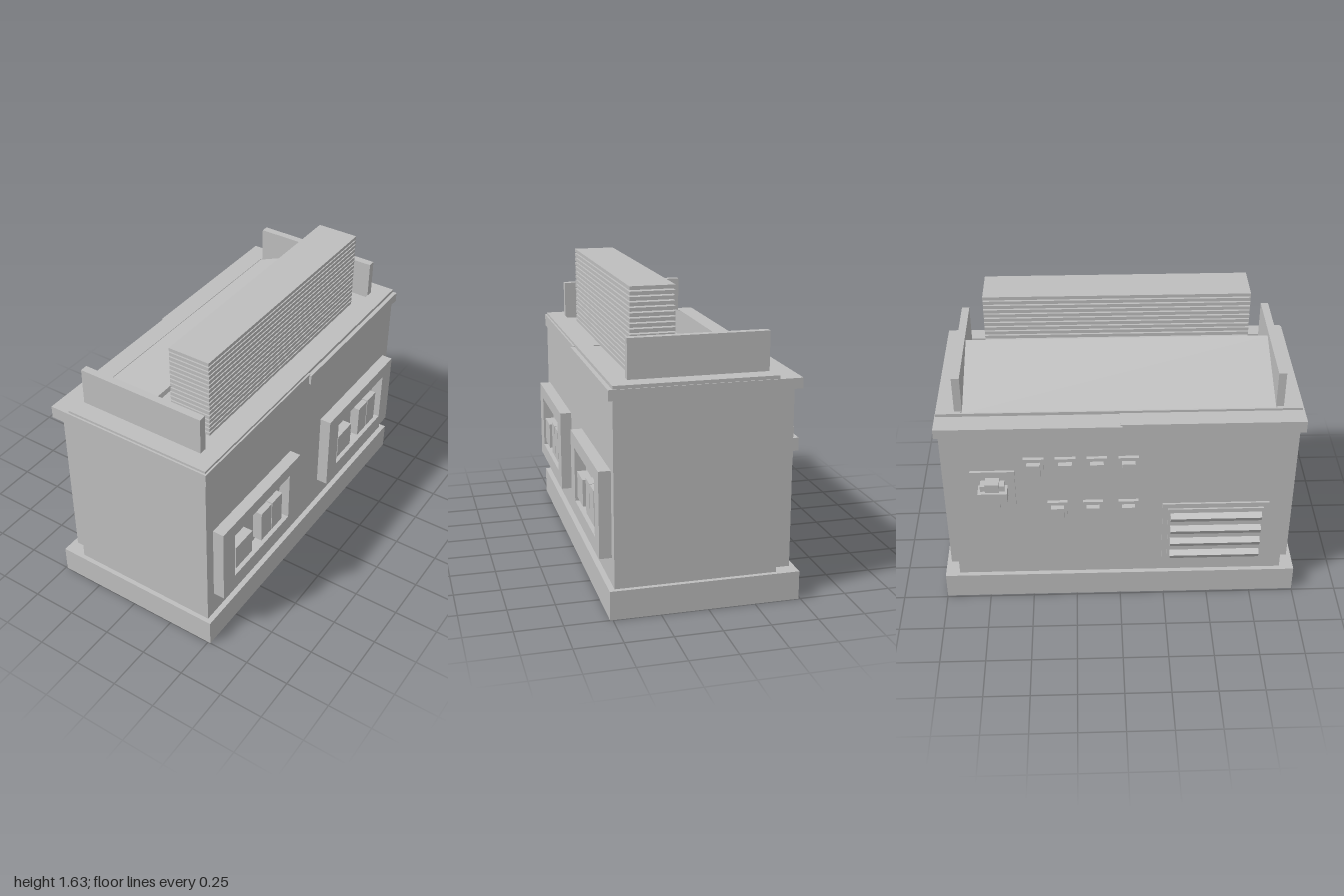
import * as THREE from 'three';

export function createModel() {
  const model = new THREE.Group();
  model.name = 'controlCabinet';
  const grey = new THREE.MeshStandardMaterial({ color: 0xbebebe });
  grey.name = 'plainGrey';

  const add = (name, geometry, parent = model) => {
    const mesh = new THREE.Mesh(geometry, grey);
    mesh.name = name;
    parent.add(mesh);
    return mesh;
  };
  // Box given by its limits on each axis
  const box = (name, x0, x1, y0, y1, z0, z1, parent = model) => {
    const mesh = add(name, new THREE.BoxGeometry(x1 - x0, y1 - y0, z1 - z0), parent);
    mesh.position.set((x0 + x1) / 2, (y0 + y1) / 2, (z0 + z1) / 2);
    return mesh;
  };
  const group = (name) => {
    const g = new THREE.Group();
    g.name = name;
    model.add(g);
    return g;
  };
  const rect = (path, x0, x1, y0, y1) =>
    path.moveTo(x0, y0).lineTo(x1, y0).lineTo(x1, y1).lineTo(x0, y1).closePath();
  // Rectangular frame with one opening, extruded along +z
  const frame = (outer, inner, depth) => {
    const shape = rect(new THREE.Shape(), ...outer);
    shape.holes.push(rect(new THREE.Path(), ...inner));
    return new THREE.ExtrudeGeometry(shape, { depth, bevelEnabled: false });
  };

  // Plinth and body, with a narrower section on the control side
  box('plinth', -0.49, 0.515, 0, 0.155, -1, 1);
  box('mainBody', -0.37, 0.485, 0.155, 1.15, -0.975, 0.975);
  box('controlBody', -0.463, -0.37, 0.155, 1.15, -0.92, 0.92);

  // Overlapping lid halves and the raised rim round the trough
  box('frontLid', -0.473, 0.495, 1.12, 1.19, 0, 0.985);
  box('backLid', -0.485, 0.508, 1.13, 1.185, -0.98, 0.012);
  const rim = add('troughRim', frame([-0.365, 0.485, -0.975, 0.975], [-0.355, 0.39, -0.84, 0.84], 0.02));
  rim.rotation.x = -Math.PI / 2;
  rim.position.y = 1.183;

  // End walls of the trough
  for (const s of [-1, 1]) {
    const z = s * 0.855;
    box('endWall', -0.343, 0.39, 1.19, 1.41, z - 0.021, z + 0.021);
  }

  // Sloping sheet that rises to the stack
  const sheet = new THREE.Shape();
  sheet.moveTo(-0.355, 1.2).lineTo(-0.346, 1.18).lineTo(0.095, 1.36).lineTo(0.086, 1.38).closePath();
  add('slopingSheet', new THREE.ExtrudeGeometry(sheet, { depth: 1.67, bevelEnabled: false }))
    .position.z = -0.835;

  // Stack of separate flat sheets
  const stack = group('sheetStack');
  const count = 17;
  for (let i = 0; i < count; i++) {
    const y = 1.635 - i * 0.0268;
    box('stackedSheet', 0.106, 0.341, y - 0.019, y, -0.727, 0.727, stack);
  }

  // Two framed bays on the left side, each holding three blocks
  for (const z of [0.541, -0.541]) {
    const bay = group('framedBay');
    bay.position.z = z;
    const f = add('bayFrame', frame([-0.376, 0.376, 0.3, 0.76], [-0.27, 0.27, 0.38, 0.685], 0.065), bay);
    f.rotation.y = Math.PI / 2;
    f.position.x = 0.484;
    box('lowBlock', 0.48, 0.54, 0.41, 0.56, 0.09, 0.245, bay);
    box('tallBlock', 0.48, 0.54, 0.41, 0.603, -0.101, -0.002, bay);
    box('tallBlock', 0.48, 0.54, 0.41, 0.603, -0.209, -0.108, bay);
  }

  // Rotary switch on its backing plate
  const rotary = group('rotarySwitch');
  box('switchPlate', -0.478, -0.46, 0.645, 0.895, -0.81, -0.57, rotary);
  box('switchHub', -0.53, -0.46, 0.705, 0.84, -0.755, -0.625, rotary);
  box('switchUpright', -0.542, -0.46, 0.685, 0.857, -0.728, -0.652, rotary);
  box('switchBar', -0.555, -0.46, 0.735, 0.806, -0.768, -0.61, rotary);

  // Two rows of push buttons
  const buttons = group('pushButtons');
  for (const [y, places] of [[0.925, [-0.465, -0.295, -0.125, 0.045]], [0.625, [-0.345, -0.15, 0.045]]]) {
    for (const z of places) {
      box('buttonPlate', -0.484, -0.46, y - 0.055, y + 0.055, z - 0.055, z + 0.055, buttons);
      box('button', -0.515, -0.48, y - 0.035, y + 0.035, z - 0.036, z + 0.036, buttons);
    }
  }

  // Louvred vent
  const vent = group('vent');
  box('ventPlate', -0.475, -0.46, 0.235, 0.645, 0.235, 0.825, vent);
  box('ventPanel', -0.485, -0.46, 0.265, 0.615, 0.265, 0.795, vent);
  for (let i = 0; i < 4; i++) {
    const louvre = add('louvre', new THREE.BoxGeometry(0.037, 0.037, 0.505), vent);
    louvre.position.set(-0.506, 0.305 + i * 0.09, 0.53);
    louvre.rotation.z = 0.48;
  }
  return model;
}
